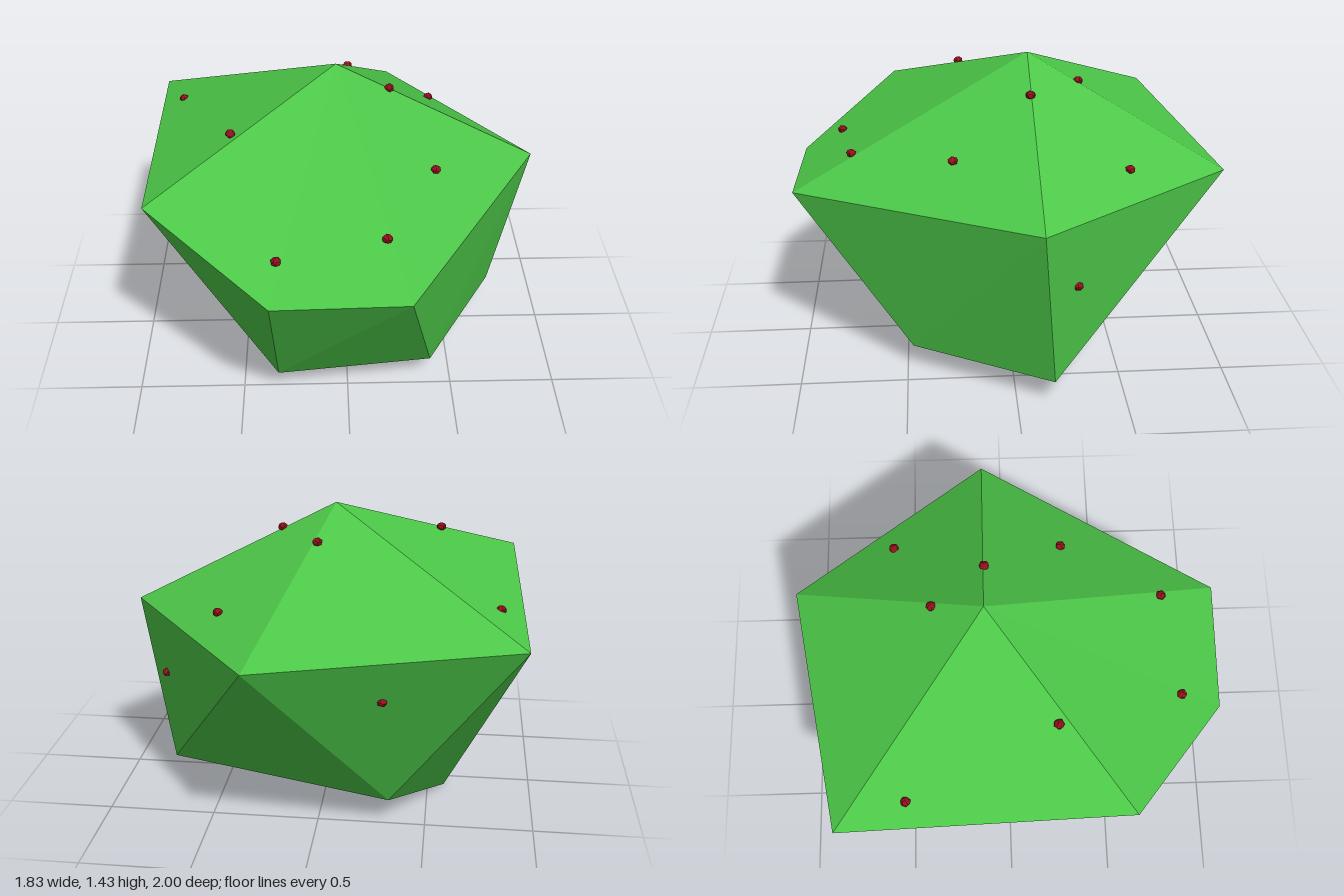
import * as THREE from 'three';

// Corners of the faceted bush
const P = {
  top: [-0.04, 1.435, -0.10], bottom: [-0.04, 0.20, -0.10],
  // widest ring, counter-clockwise from above
  A: [0.91, 0.935, -0.10], B: [0.255, 0.935, -1.0], C: [-0.915, 1.0, -0.79],
  D: [-0.89, 1.08, 0.55], E: [-0.34, 0.86, 0.99], F: [0.255, 0.88, 1.0],
  // lower ring
  Q: [0.755, 0.13, -0.17], R: [-0.33, 0.13, -0.51], L: [-0.58, 0.005, -0.09],
  S: [-0.33, 0.13, 0.555], K: [0.40, 0.13, 0.47],
};
const UPPER = [...'ABCDEF'];
const LOWER = [...'QRLSK'];
// Side band between the rings
const SIDES = ['AQB', 'QRB', 'BRC', 'RLC', 'CLD', 'LSD', 'DSE', 'ESF', 'SKF', 'FKA', 'KQA'];

const BERRIES = [
  [0.21, 1.31, -0.095], [0.02, 1.31, -0.335], [0.405, 1.08, 0.265], [0.16, 1.03, 0.73],
  [-0.31, 0.97, 0.80], [0.44, 1.03, -0.525], [-0.52, 1.25, 0.21], [-0.80, 1.07, -0.465],
  [0.753, 0.62, -0.26], [-0.31, 0.757, -0.80],
];

function bushGeometry() {
  const faces = SIDES.map((s) => [...s]);
  UPPER.forEach((k, i) => faces.push(['top', k, UPPER[(i + 1) % UPPER.length]]));
  LOWER.forEach((k, i) => faces.push(['bottom', LOWER[(i + 1) % LOWER.length], k]));
  const points = faces.flat().map((k) => new THREE.Vector3(...P[k]));
  const geo = new THREE.BufferGeometry().setFromPoints(points);
  geo.computeVertexNormals();
  return geo;
}

// Small lumpy berry: a low sphere pushed in and out by a smooth rule
function berryGeometry() {
  const geo = new THREE.IcosahedronGeometry(0.022, 1);
  const pos = geo.attributes.position;
  const v = new THREE.Vector3();
  for (let i = 0; i < pos.count; i++) {
    v.fromBufferAttribute(pos, i);
    v.multiplyScalar(1 + 0.12 * Math.sin(v.x * 190 + v.y * 130) * Math.cos(v.z * 170));
    pos.setXYZ(i, v.x * 1.05, v.y * 0.85, v.z);
  }
  geo.computeVertexNormals();
  return geo;
}

export function createModel() {
  const group = new THREE.Group();
  group.name = 'berryBush';

  const leaf = new THREE.MeshStandardMaterial({ color: 0x4cc748, flatShading: true });
  const foliage = new THREE.Mesh(bushGeometry(), leaf);
  foliage.name = 'foliage';
  group.add(foliage);

  // Berries scattered over the leaf faces
  const red = new THREE.MeshStandardMaterial({ color: 0x960f1c, flatShading: true });
  const geo = berryGeometry();
  const berries = new THREE.Group();
  berries.name = 'berries';
  BERRIES.forEach((p, i) => {
    const berry = new THREE.Mesh(geo, red);
    berry.name = `berry${i + 1}`;
    berry.position.set(...p);
    berry.rotation.y = i * 1.3;
    berries.add(berry);
  });
  group.add(berries);
  return group;
}
